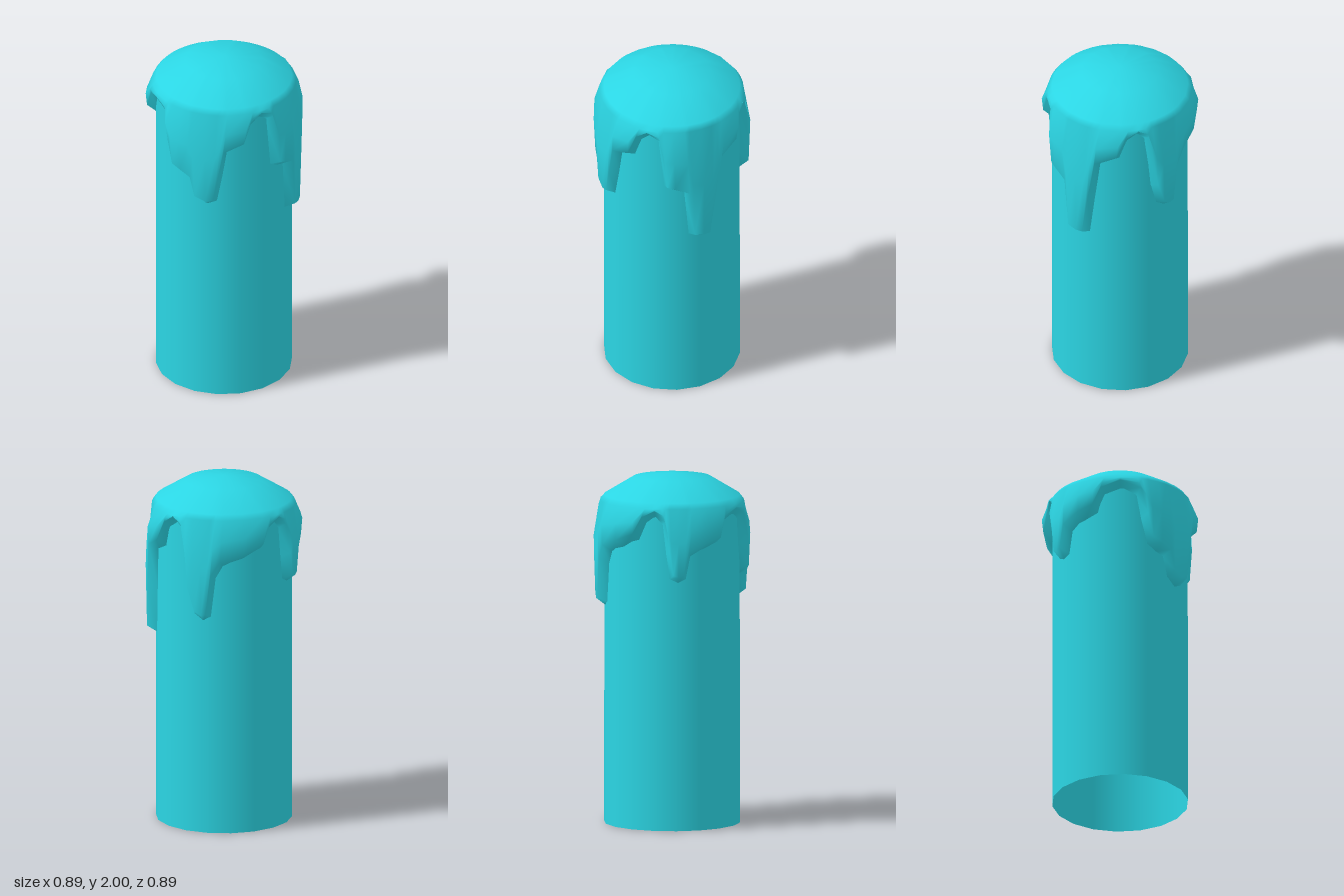
import * as THREE from 'three';

const BODY_R = 0.385;

// Lower edge of the melted wax: [angle in degrees from the front towards +x, height]
const DRIP_EDGE = [
  [0, 1.28], [11, 1.245], [20, 1.27], [24, 1.42], [28, 1.59], [43, 1.63], [49, 1.75], [56, 1.79], [64, 1.76],
  [69, 1.45], [77, 1.42], [86, 1.4], [90, 1.1], [100, 1.07], [109, 1.09], [114, 1.35], [119, 1.59], [135, 1.64],
  [142, 1.76], [150, 1.8], [156, 1.76], [162, 1.42], [168, 1.28], [176, 1.245], [183, 1.27], [187, 1.5], [193, 1.57],
  [210, 1.61], [227, 1.66], [234, 1.76], [242, 1.79], [248, 1.75], [251, 1.58], [254, 1.44], [261, 1.415], [268, 1.44],
  [272, 1.57], [285, 1.61], [298, 1.64], [304, 1.75], [317, 1.78], [331, 1.75], [335, 1.6], [340, 1.45], [349, 1.42], [356, 1.4],
];

function createWax(material) {
  const n = DRIP_EDGE.length;
  const edge = DRIP_EDGE.map(([deg, y]) => ({ a: THREE.MathUtils.degToRad(deg), y }));
  const positions = [0, 2, 0];
  const index = [];
  const add = (r, y, a) => positions.push(r * Math.sin(a), y, r * Math.cos(a));

  // Outer rim: the edge moved a little way up and into the wax
  const rim = edge.map((p, i) => {
    const prev = edge[(i + n - 1) % n], next = edge[(i + 1) % n];
    const wrap = (d) => Math.atan2(Math.sin(d), Math.cos(d));
    const ds = wrap(next.a - prev.a) * 0.42, dy = next.y - prev.y;
    const len = Math.hypot(ds, dy);
    return { a: p.a - (dy / len) * 0.025 / 0.42, y: p.y + 0.02 + (ds / len) * 0.025 };
  });

  // Rings from the dome down to the edge where the wax meets the body
  const rings = [
    (i) => add(0.22, 1.975, edge[i].a),
    (i) => add(0.385, 1.875, edge[i].a),
    (i) => add(0.408, 1.845, edge[i].a),
    (i) => add(rim[i].y > 1.72 ? 0.42 : 0.444, (1.84 + rim[i].y) / 2, (edge[i].a + rim[i].a) / 2),
    (i) => add(rim[i].y > 1.72 ? 0.415 : 0.436, rim[i].y, rim[i].a),
    (i) => add(BODY_R - 0.008, edge[i].y, edge[i].a),
  ];
  rings.forEach((ring) => { for (let i = 0; i < n; i++) ring(i); });

  for (let i = 0; i < n; i++) {
    const j = (i + 1) % n;
    index.push(0, 1 + i, 1 + j);
    for (let k = 0; k < rings.length - 1; k++) {
      const a = 1 + k * n + i, b = 1 + k * n + j;
      index.push(a, a + n, b, b, a + n, b + n);
    }
  }
  const geometry = new THREE.BufferGeometry();
  geometry.setAttribute('position', new THREE.Float32BufferAttribute(positions, 3));
  geometry.setIndex(index);
  geometry.computeVertexNormals();
  const mesh = new THREE.Mesh(geometry, material);
  mesh.name = 'meltedWax';
  return mesh;
}

export function createModel() {
  const group = new THREE.Group();
  group.name = 'candle';
  const material = new THREE.MeshStandardMaterial({ color: 0x2bd5e3, side: THREE.DoubleSide });

  // Straight body, open at the bottom
  const bodyGeometry = new THREE.CylinderGeometry(BODY_R, BODY_R + 0.002, 1.84, 18, 1, true);
  bodyGeometry.translate(0, 0.92, 0);
  const body = new THREE.Mesh(bodyGeometry, material);
  body.name = 'candleBody';

  group.add(body, createWax(material));
  return group;
}
